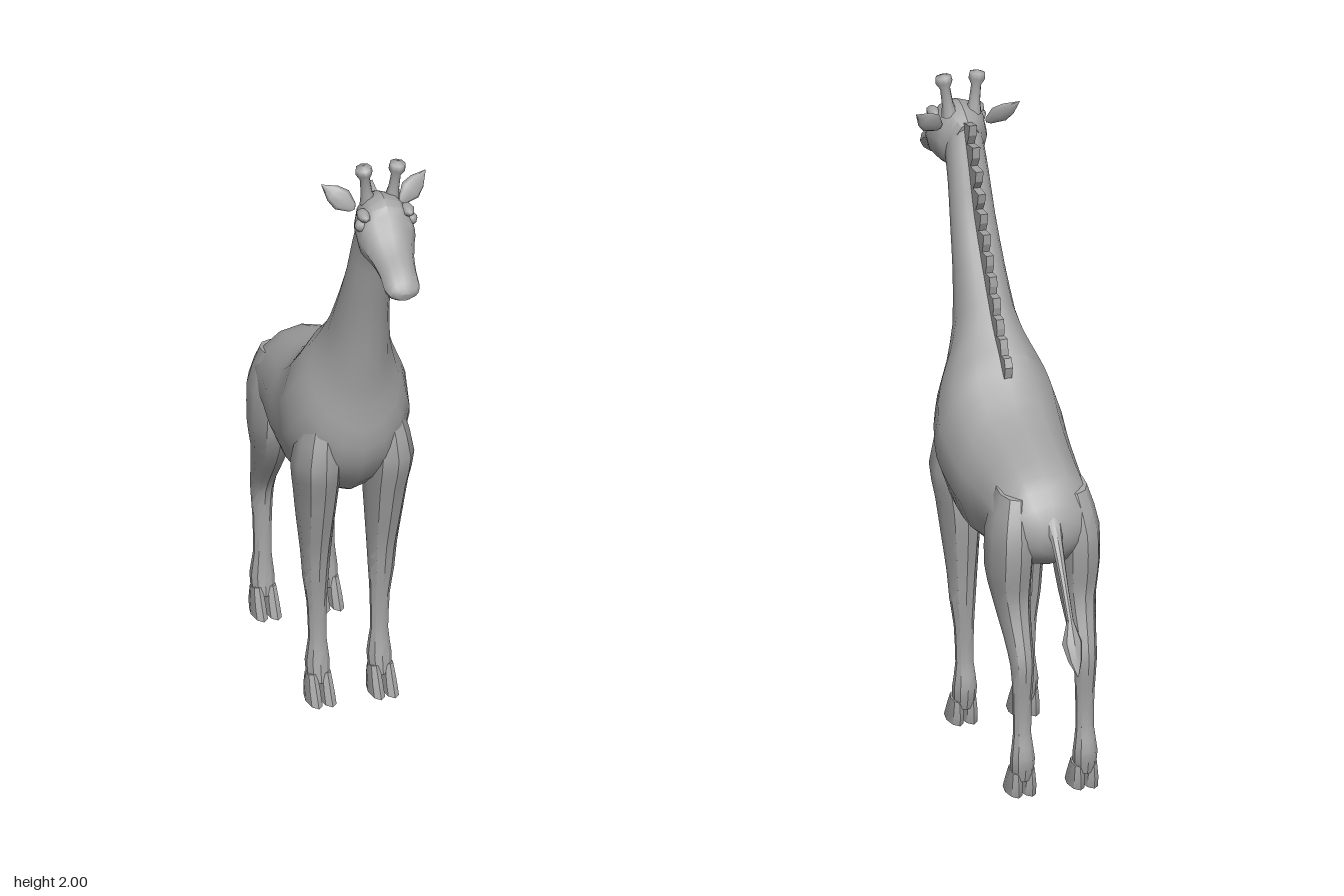
import * as THREE from 'three';
import { toCreasedNormals } from 'three/addons/utils/BufferGeometryUtils.js';

const grey = new THREE.MeshStandardMaterial({ color: 0xa6a6a6 });
grey.name = 'stone grey';

// Skin over oval sections [x, halfWidth, z1, y1, z2, y2]; points 1 and 2 are the two profile edges.
function loft(rings, sides = 12, sub = 2, crease = 0.6) {
  const curve = (f) => new THREE.CatmullRomCurve3(rings.map(f));
  const edgeA = curve((r) => new THREE.Vector3(0, r[3], r[2]));
  const edgeB = curve((r) => new THREE.Vector3(0, r[5], r[4]));
  const girth = curve((r) => new THREE.Vector3(r[0], r[1], 0));
  const rows = (rings.length - 1) * sub;
  const pos = [], idx = [];
  const mids = [];
  for (let i = 0; i <= rows; i++) {
    const t = i / rows;
    const a = edgeA.getPoint(t), b = edgeB.getPoint(t), g = girth.getPoint(t);
    const mid = a.clone().add(b).multiplyScalar(0.5);
    const half = a.clone().sub(mid);
    mids.push([g.x, mid.y, mid.z]);
    for (let j = 0; j < sides; j++) {
      const u = (j / sides) * Math.PI * 2;
      pos.push(g.x + Math.sin(u) * g.y, mid.y + half.y * Math.cos(u), mid.z + half.z * Math.cos(u));
    }
  }
  const first = pos.length / 3;
  pos.push(...mids[0], ...mids[rows]);
  for (let j = 0; j < sides; j++) {
    const k = (j + 1) % sides;
    for (let i = 0; i < rows; i++) {
      const p = i * sides, q = p + sides;
      idx.push(p + j, q + j, p + k, p + k, q + j, q + k);
    }
    idx.push(first, j, k, first + 1, rows * sides + k, rows * sides + j);
  }
  // Turn the faces outward whichever way the sections run
  const P = (i) => new THREE.Vector3().fromArray(pos, i * 3);
  let volume = 0;
  for (let i = 0; i < idx.length; i += 3) volume += P(idx[i]).dot(P(idx[i + 1]).cross(P(idx[i + 2])));
  if (volume < 0) idx.reverse();
  const geo = new THREE.BufferGeometry();
  geo.setAttribute('position', new THREE.Float32BufferAttribute(pos, 3));
  geo.setIndex(idx);
  return toCreasedNormals(geo, crease);
}

const lathe = (points, sides) =>
  new THREE.LatheGeometry(points.map(([x, y]) => new THREE.Vector2(x, y)), sides);

export function createModel() {
  const model = new THREE.Group();
  model.name = 'giraffe';
  const add = (name, geo, parent = model) => {
    const mesh = new THREE.Mesh(geo, grey);
    mesh.name = name;
    parent.add(mesh);
    return mesh;
  };

  // Trunk and neck in one skin, from rump to nape
  add('bodyAndNeck', loft([
    [0, 0.05, -0.485, 0.86, -0.47, 0.78],
    [0, 0.13, -0.45, 0.94, -0.42, 0.73],
    [0, 0.16, -0.38, 1.01, -0.34, 0.72],
    [0, 0.17, -0.26, 1.055, -0.22, 0.69],
    [0, 0.188, -0.12, 1.10, -0.1, 0.66],
    [0, 0.195, -0.04, 1.16, 0.03, 0.665],
    [0, 0.2, 0.0, 1.2, 0.14, 0.71],
    [0, 0.185, 0.03, 1.24, 0.24, 0.81],
    [0, 0.16, 0.06, 1.27, 0.283, 0.92],
    [0, 0.125, 0.095, 1.31, 0.285, 1.06],
    [0, 0.096, 0.135, 1.37, 0.305, 1.2],
    [0, 0.08, 0.2, 1.47, 0.34, 1.38],
    [0, 0.07, 0.275, 1.6, 0.385, 1.54],
    [0, 0.064, 0.325, 1.73, 0.42, 1.65],
    [0, 0.06, 0.375, 1.85, 0.46, 1.71],
  ], 14));

  // Head from the back of the skull to the lips
  const head = new THREE.Group();
  head.name = 'head';
  model.add(head);
  add('skullAndMuzzle', loft([
    [0, 0.04, 0.37, 1.86, 0.40, 1.72],
    [0, 0.075, 0.41, 1.885, 0.43, 1.69],
    [0, 0.088, 0.46, 1.90, 0.47, 1.685],
    [0, 0.092, 0.515, 1.885, 0.50, 1.68],
    [0, 0.08, 0.55, 1.835, 0.535, 1.685],
    [0, 0.065, 0.60, 1.785, 0.575, 1.685],
    [0, 0.057, 0.65, 1.755, 0.62, 1.67],
    [0, 0.056, 0.69, 1.725, 0.655, 1.65],
    [0, 0.045, 0.71, 1.70, 0.69, 1.652],
    [0, 0.02, 0.717, 1.685, 0.71, 1.66],
  ], 12), head);

  for (const [side, s] of [['left', 1], ['right', -1]]) {
    // Eyes, horns and ears
    const eye = add(side + 'Eye', new THREE.SphereGeometry(0.02, 8, 6), head);
    eye.position.set(s * 0.08, 1.825, 0.505);
    const brow = add(side + 'Brow', new THREE.SphereGeometry(0.03, 8, 5), head);
    brow.scale.set(0.7, 0.6, 1.2);
    brow.position.set(s * 0.07, 1.855, 0.5);

    const horn = add(side + 'Horn', lathe([[0.026, 0], [0.018, 0.04], [0.016, 0.09], [0.027, 0.11],
      [0.025, 0.128], [0, 0.136]], 8), head);
    horn.position.set(s * 0.038, 1.865, 0.44);
    horn.rotation.set(0.08, 0, -s * 0.13);

    const ear = add(side + 'Ear', lathe([[0, 0], [0.016, 0.01], [0.036, 0.05], [0.028, 0.085],
      [0, 0.13]], 8).scale(1, 1, 0.35), head);
    ear.position.set(s * 0.072, 1.835, 0.42);
    ear.quaternion.setFromUnitVectors(new THREE.Vector3(0, 1, 0),
      new THREE.Vector3(s * 0.092, 0.075, -0.045).normalize());

    // Legs
    const legs = {
      FrontLeg: [
        [0.10, 0.05, 0.23, 1.0, 0.08, 1.0],
        [0.115, 0.075, 0.265, 0.85, 0.04, 0.82],
        [0.11, 0.067, 0.235, 0.74, 0.03, 0.72],
        [0.108, 0.057, 0.2, 0.62, 0.04, 0.62],
        [0.105, 0.046, 0.165, 0.5, 0.06, 0.5],
        [0.104, 0.04, 0.15, 0.41, 0.07, 0.41],
        [0.10, 0.031, 0.137, 0.32, 0.08, 0.32],
        [0.098, 0.028, 0.133, 0.2, 0.085, 0.2],
        [0.098, 0.038, 0.145, 0.12, 0.07, 0.12],
        [0.098, 0.034, 0.155, 0.06, 0.085, 0.05],
      ],
      HindLeg: [
        [0.09, 0.05, -0.27, 0.97, -0.42, 0.95],
        [0.105, 0.07, -0.225, 0.83, -0.475, 0.83],
        [0.108, 0.068, -0.23, 0.71, -0.47, 0.71],
        [0.105, 0.055, -0.29, 0.6, -0.455, 0.62],
        [0.102, 0.042, -0.37, 0.5, -0.485, 0.51],
        [0.10, 0.036, -0.425, 0.42, -0.505, 0.43],
        [0.10, 0.03, -0.437, 0.32, -0.49, 0.32],
        [0.10, 0.028, -0.437, 0.2, -0.487, 0.2],
        [0.10, 0.038, -0.43, 0.12, -0.503, 0.12],
        [0.10, 0.034, -0.42, 0.06, -0.49, 0.05],
      ],
    };
    for (const [kind, rings] of Object.entries(legs)) {
      const leg = new THREE.Group();
      leg.name = side + kind;
      model.add(leg);
      add('limb', loft(rings.map(([x, ...r]) => [s * x, ...r]), 10), leg);
      // Cloven hoof of two toes
      const dz = kind === 'HindLeg' ? -0.575 : 0;
      for (const t of [-1, 1]) {
        const x = s * 0.099 + t * 0.022;
        add('toe', loft([
          [x, 0.018, 0.15 + dz, 0.09, 0.085 + dz, 0.075],
          [x, 0.023, 0.18 + dz, 0.04, 0.078 + dz, 0.035],
          [x, 0.024, 0.205 + dz, 0, 0.08 + dz, 0],
        ], 8, 1), leg);
      }
    }
  }

  // Mane: a thin crest cut into backswept tufts
  const base = new THREE.CatmullRomCurve3([[0.4, 1.85], [0.335, 1.74], [0.275, 1.6], [0.195, 1.46],
    [0.13, 1.36], [0.06, 1.26], [-0.02, 1.18]].map(([z, y]) => new THREE.Vector3(z, y, 0)));
  const off = (t, d) => {
    const p = base.getPointAt(t), n = base.getTangentAt(t);
    return new THREE.Vector2(p.x + n.y * d, p.y - n.x * d);
  };
  const tufts = 12;
  const outline = [];
  for (let i = 0; i < tufts; i++) {
    const t = i / tufts, len = 0.078 - 0.038 * t;
    outline.push(off(t, 0.02), off(t + 0.025, len), off(t + 0.06, len * 0.72));
  }
  outline.push(off(1, 0));
  for (let i = tufts; i >= 0; i--) outline.push(off(i / tufts, -0.025));
  add('mane', new THREE.ExtrudeGeometry(new THREE.Shape(outline), { depth: 0.024, bevelEnabled: false })
    .rotateY(-Math.PI / 2).translate(0.012, 0, 0));

  // Tail with its tuft
  add('tail', loft([
    [0, 0.03, -0.45, 0.93, -0.46, 0.85],
    [0, 0.018, -0.505, 0.85, -0.49, 0.82],
    [0, 0.012, -0.575, 0.735, -0.555, 0.725],
    [0, 0.011, -0.635, 0.635, -0.615, 0.62],
  ], 8));
  add('tailTuft', loft([
    [0, 0.01, -0.635, 0.635, -0.615, 0.625],
    [0, 0.032, -0.67, 0.575, -0.622, 0.548],
    [0, 0.022, -0.69, 0.52, -0.66, 0.51],
    [0, 0.002, -0.706, 0.475, -0.704, 0.474],
  ], 8, 1));

  return model;
}
